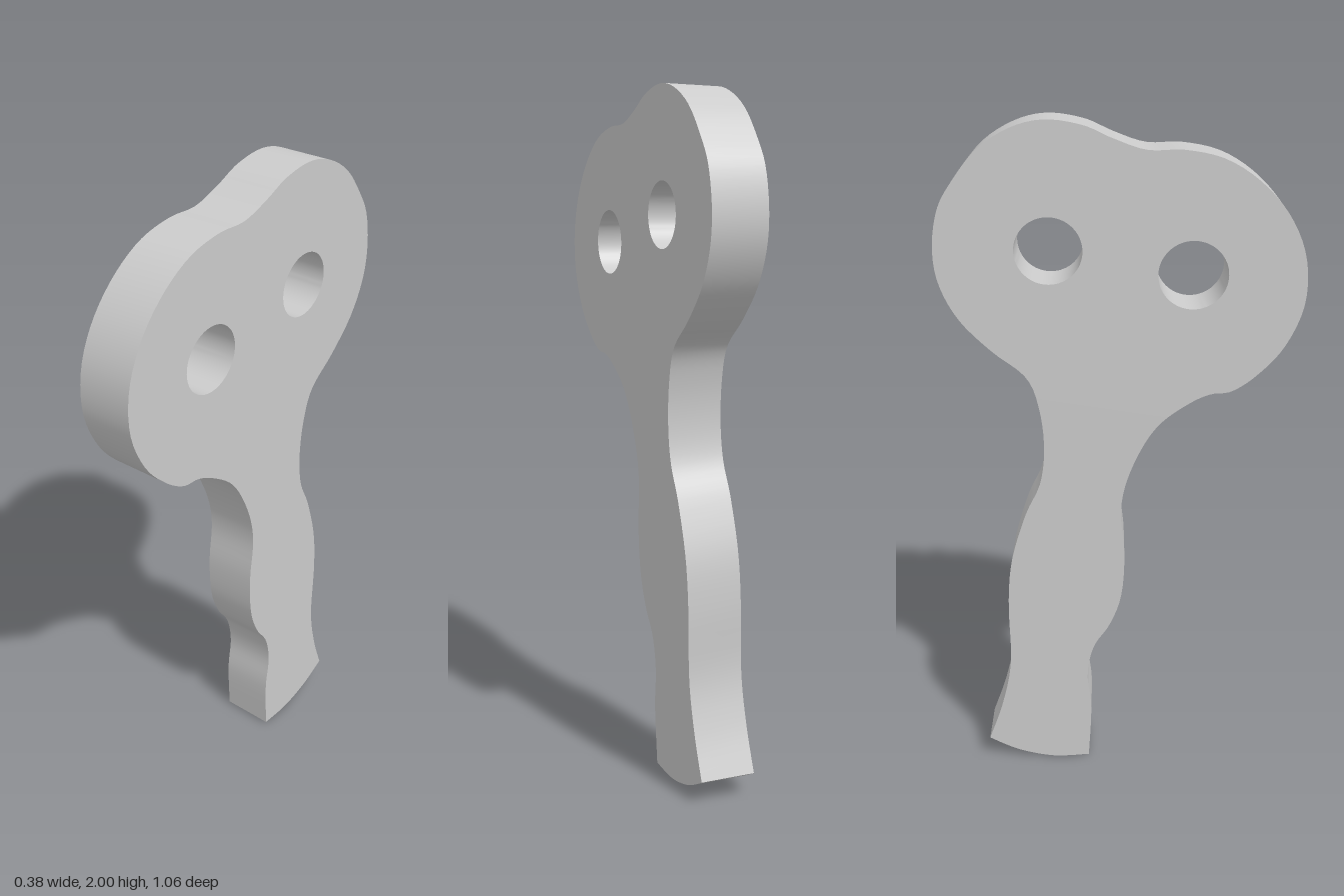
import * as THREE from 'three';
import { toCreasedNormals } from 'three/addons/utils/BufferGeometryUtils.js';

const material = new THREE.MeshStandardMaterial({ color: 0xcccccc });

// Profile points are [u, y]: u runs toward the back, y is height.
const backOfHandle = [[0.4, 0.07], [0.355, 0.2], [0.325, 0.35], [0.325, 0.55], [0.31, 0.7],
  [0.265, 0.85], [0.22, 0.95], [0.205, 1.06], [0.215, 1.18], [0.25, 1.28]];
const head = [[0.345, 1.36], [0.43, 1.45], [0.48, 1.55], [0.493, 1.65], [0.475, 1.76], [0.43, 1.84],
  [0.36, 1.925], [0.27, 1.98], [0.18, 2.0], [0.08, 1.985], [0, 1.95], [-0.09, 1.92], [-0.19, 1.92],
  [-0.3, 1.895], [-0.4, 1.83], [-0.48, 1.735], [-0.525, 1.62], [-0.525, 1.49], [-0.475, 1.37],
  [-0.4, 1.285], [-0.33, 1.237], [-0.27, 1.228]];
const frontOfHandle = [[-0.21, 1.2], [-0.13, 1.14], [-0.075, 1.06], [-0.03, 0.95], [-0.015, 0.85],
  [-0.025, 0.72], [-0.015, 0.58], [0.02, 0.48], [0.07, 0.4], [0.09, 0.3], [0.08, 0.18], [0.09, 0.005]];
const foot = [[0.2, 0], [0.31, 0.025], [0.4, 0.07]];

const vectors = (points) => points.map(([u, y]) => new THREE.Vector2(u, y));

// Outline as two smooth runs meeting at the sharp foot corners
function buildOutline() {
  const side = new THREE.SplineCurve(vectors([...backOfHandle, ...head, ...frontOfHandle]));
  const base = new THREE.SplineCurve(vectors([frontOfHandle.at(-1), ...foot]));
  const shape = new THREE.Shape([...side.getPoints(180), ...base.getPoints(12).slice(1, -1)]);
  for (const [u, y, r] of [[-0.217, 1.577, 0.097], [0.18, 1.646, 0.094]]) {
    const hole = new THREE.Path();
    hole.absarc(u, y, r, 0, Math.PI * 2, true);
    shape.holes.push(hole);
  }
  return shape;
}

export function createModel() {
  const model = new THREE.Group();
  model.name = 'handledPlate';

  let geometry = new THREE.ExtrudeGeometry(buildOutline(), {
    depth: 1, bevelEnabled: false, curveSegments: 32,
  });
  // Stand the slab up, turned slightly about y and leaning a little sideways
  geometry.applyMatrix4(new THREE.Matrix4().makeBasis(
    new THREE.Vector3(0.2136, 0, -1),
    new THREE.Vector3(0.018, 1, 0),
    new THREE.Vector3(0.161, 0, 0.035),
  ).setPosition(-0.077 - 0.018 * 1.6, 0, -0.035));
  geometry = toCreasedNormals(geometry, 0.6);

  const plate = new THREE.Mesh(geometry, material);
  plate.name = 'headAndHandle';
  model.add(plate);
  return model;
}
